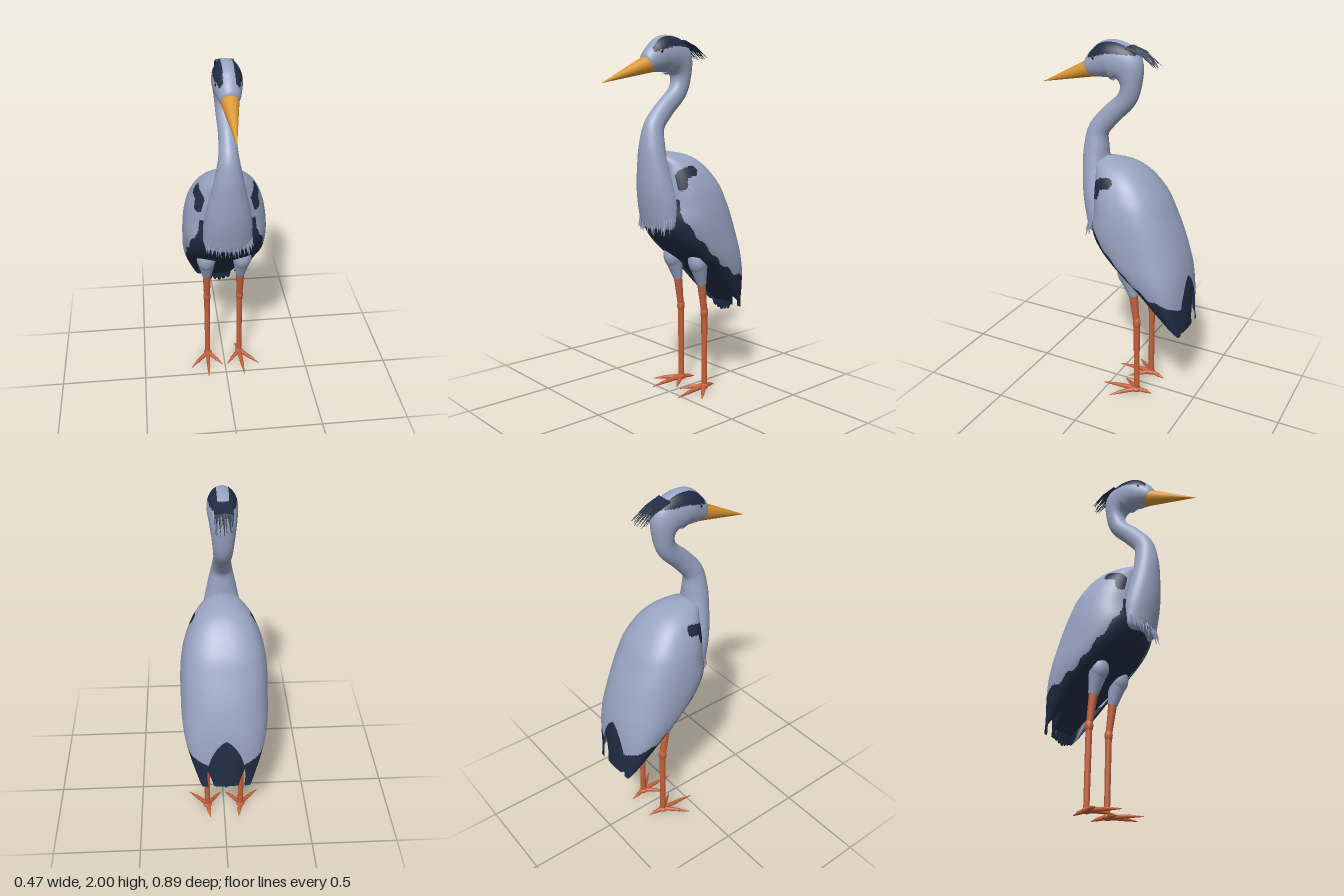
import * as THREE from 'three';

const mat = (name, color, side = THREE.FrontSide) => {
  const m = new THREE.MeshStandardMaterial({ color, side });
  m.name = name;
  return m;
};
const V = (x, y, z) => new THREE.Vector3(x, y, z);

// Smooth interpolation of table rows: t in 0..1 gives one value per column
function spline(rows) {
  const cols = rows[0].map((_, c) => new THREE.SplineCurve(rows.map(r => new THREE.Vector2(r[c], 0))));
  return t => cols.map(c => c.getPoint(t).x);
}

// Surface from a rule f(u, v); the v direction may close on itself
function surface(nu, nv, f, closed) {
  const pos = [], idx = [], w = closed ? nv : nv + 1;
  for (let i = 0; i <= nu; i++) for (let j = 0; j < w; j++) pos.push(...f(i / nu, j / nv));
  for (let i = 0; i < nu; i++) for (let j = 0; j < nv; j++) {
    const k = (j + 1) % w, a = i * w + j, b = a + w, c = (i + 1) * w + k, d = i * w + k;
    idx.push(a, b, c, a, c, d);
  }
  const g = new THREE.BufferGeometry();
  g.setAttribute('position', new THREE.Float32BufferAttribute(pos, 3));
  g.setIndex(idx);
  g.computeVertexNormals();
  return g;
}

// Sort faces into two material groups by the position of their centre
function paint(g, isDark) {
  const p = g.attributes.position, ix = g.index.array, sets = [[], []];
  for (let i = 0; i < ix.length; i += 3) {
    const t = [ix[i], ix[i + 1], ix[i + 2]];
    const mean = n => (p[n](t[0]) + p[n](t[1]) + p[n](t[2])) / 3;
    sets[isDark(mean('getX'), mean('getY'), mean('getZ')) ? 1 : 0].push(...t);
  }
  g.setIndex([...sets[0], ...sets[1]]);
  g.addGroup(0, sets[0].length, 0);
  g.addGroup(sets[0].length, sets[1].length, 1);
  return g;
}

// Piecewise linear lookup in [x, y] pairs with x rising
function lookup(pts, x) {
  for (let i = 1; i < pts.length; i++) if (x < pts[i][0] || i === pts.length - 1) {
    const [x0, y0] = pts[i - 1], [x1, y1] = pts[i];
    return y0 + (y1 - y0) * THREE.MathUtils.clamp((x - x0) / (x1 - x0), 0, 1);
  }
}

// Body outline by height: y, front z, back z, half width
const body = spline([
  [0.45, -0.43, -0.447, 0.135], [0.5, -0.37, -0.447, 0.155], [0.6, -0.27, -0.447, 0.19],
  [0.7, -0.17, -0.442, 0.218], [0.8, -0.045, -0.43, 0.233], [0.9, 0.06, -0.405, 0.236],
  [1.0, 0.11, -0.37, 0.235], [1.1, 0.1, -0.325, 0.226], [1.2, 0.1, -0.275, 0.203],
  [1.3, 0.1, -0.19, 0.155], [1.36, 0.11, -0.1, 0.09], [1.387, 0.07, 0.03, 0.005],
]);
const pw = v => Math.sign(v) * Math.pow(Math.abs(v), 0.82);
function bodyPoint(row, angle, sx, sz) {
  const [y, zf, zb, hw] = row;
  return [hw * sx * pw(Math.sin(angle)), y, (zf + zb) / 2 - (zf - zb) / 2 * sz * pw(Math.cos(angle))];
}

// Chest, neck and head along one path: z, y, radius in the side plane, half width
const neck = spline([
  [0.07, 0.955, 0.005, 0.01], [0.065, 0.975, 0.075, 0.12], [0.075, 1.08, 0.095, 0.135],
  [0.1, 1.2, 0.09, 0.12], [0.12, 1.33, 0.075, 0.092], [0.123, 1.42, 0.068, 0.074],
  [0.108, 1.52, 0.058, 0.054], [0.035, 1.61, 0.055, 0.046], [-0.055, 1.7, 0.053, 0.05],
  [-0.08, 1.79, 0.06, 0.058], [-0.05, 1.87, 0.1, 0.07], [0.03, 1.9, 0.1, 0.077],
  [0.1, 1.877, 0.08, 0.067], [0.16, 1.845, 0.046, 0.046], [0.165, 1.843, 0.005, 0.005],
]);

export function createModel() {
  const grey = mat('grey plumage', 0x98a4c2, THREE.DoubleSide);
  const navy = mat('dark plumage', 0x212d44, THREE.DoubleSide);
  const amber = mat('amber beak', 0xdb9632);
  const rust = mat('rust legs', 0xc4603a);
  const black = mat('black eye', 0x10141c);
  const model = new THREE.Group();
  let seed = 7;
  const rnd = () => (seed = (seed * 16807) % 2147483647) / 2147483647 - 0.5;

  const add = (name, geo, m, parent = model) => {
    const mesh = new THREE.Mesh(geo, m);
    mesh.name = name;
    parent.add(mesh);
    return mesh;
  };
  const group = name => {
    const g = new THREE.Group();
    g.name = name;
    model.add(g);
    return g;
  };
  // Tapered round rod from a to b
  const rod = (name, a, b, ra, rb, m, parent, sides = 14) => {
    const d = b.clone().sub(a);
    const mesh = add(name, new THREE.CylinderGeometry(rb, ra, d.length(), sides), m, parent);
    mesh.position.copy(a).addScaledVector(d, 0.5);
    mesh.quaternion.setFromUnitVectors(V(0, 1, 0), d.normalize());
    return mesh;
  };
  const ball = (name, x, y, z, sx, sy, sz, m, parent) => {
    const mesh = add(name, new THREE.SphereGeometry(1, 20, 14), m, parent);
    mesh.position.set(x, y, z);
    mesh.scale.set(sx, sy, sz);
    return mesh;
  };

  // Torso: dark belly and rump, grey shoulders
  const torso = surface(60, 48, (u, v) => {
    const row = body(u);
    return bodyPoint(row, v * Math.PI * 2, lookup([[0.45, 0.5], [0.78, 0.95]], row[0]), 0.96);
  }, true);
  add('torso', paint(torso, (x, y) => y < 1.13), [grey, navy]);

  // Folded wings, parting above the tail, with dark flight feathers and shoulder patch
  const edge = [[-0.44, 0.6], [-0.38, 0.665], [-0.31, 0.68], [-0.18, 0.77], [-0.02, 0.93], [0.05, 1.02], [0.075, 1.15]];
  const patch = new THREE.CatmullRomCurve3([V(0, 1.21, 0.05), V(0, 1.265, 0.035), V(0, 1.285, -0.025)]).getPoints(12);
  const wingDark = (x, y, z) =>
    y < lookup(edge, z) + 0.008 * Math.sin(z * 70) ||
    patch.some(p => Math.hypot(p.y - y, p.z - z) < 0.027);
  for (const s of [1, -1]) {
    const wing = surface(130, 80, (u, v) => {
      const row = body(u), y = row[0];
      const a = 0.75 * Math.max(0, (0.77 - y) / 0.32) ** 0.8;
      const b = 2.45 - 1.2 * Math.max(0, (0.62 - y) / 0.17) ** 2;
      const p = bodyPoint(row, a + (b - a) * (s > 0 ? v : 1 - v), 1, 1);
      p[0] *= s;
      return p;
    }, false);
    add(s > 0 ? 'leftWing' : 'rightWing', paint(wing, wingDark), [grey, navy]);
  }

  // Tail feathers
  const tail = group('tail');
  for (let i = -2; i <= 2; i++)
    ball('tailFeather', i * 0.027, 0.51 + Math.abs(i) * 0.008, -0.408, 0.022, 0.1, 0.016, navy, tail).rotation.x = 0.08;

  // Chest, S-shaped neck and head with dark brow bands
  const neckGeo = surface(220, 64, (u, v) => {
    const [z, y, r, rx] = neck(u);
    const p = neck(Math.max(0, u - 0.004)), q = neck(Math.min(1, u + 0.004));
    const t = new THREE.Vector2(q[0] - p[0], q[1] - p[1]).normalize();
    const c = Math.cos(v * Math.PI * 2), n = Math.sin(v * Math.PI * 2);
    return [rx * c, y - r * n * t.x, z + r * n * t.y];
  }, true);
  const brow = [[-0.1, 1.935], [0.02, 1.94], [0.14, 1.905]];
  add('neckAndHead', paint(neckGeo, (x, y, z) =>
    z < 0.145 && y > lookup(brow, z) && !(Math.abs(x) < 0.03 && z > -0.075)), [grey, navy]);

  // Beak and eyes
  rod('beak', V(0, 1.85, 0.135), V(0, 1.745, 0.445), 0.05, 0.001, amber, model, 24);
  for (const s of [1, -1]) {
    ball('eyeRing', s * 0.058, 1.908, 0.103, 0.007, 0.013, 0.013, amber);
    ball('eye', s * 0.061, 1.908, 0.104, 0.007, 0.009, 0.009, black);
  }

  // Crest plumes
  const crest = group('crest');
  for (let i = 0; i < 16; i++) {
    const x = (i / 15 - 0.5) * 0.08;
    const mid = V(x * 1.05, 1.945 + rnd() * 0.01, -0.15);
    rod('plume', V(x, 1.97, -0.07), mid, 0.007, 0.004, navy, crest, 6);
    rod('plumeTip', mid, V(x * 1.1 + rnd() * 0.015, 1.885 + rnd() * 0.03, -0.225 + rnd() * 0.05), 0.004, 0.0005, navy, crest, 6);
  }

  // Ragged breast feathers
  const fringe = group('breastFringe');
  for (let i = 0; i < 30; i++) {
    const x = (i / 29 - 0.5) * 0.25;
    const z = 0.063 + 0.078 * Math.sqrt(1 - (x / 0.135) ** 2);
    rod('breastFeather', V(x, 1.03, z), V(x * 1.05 + rnd() * 0.03, 0.957 + rnd() * 0.04, z + 0.012 + rnd() * 0.02), 0.01, 0.0005, grey, fringe, 6);
  }

  // Legs: thigh, shank, joint and four toes
  for (const s of [1, -1]) {
    const leg = group(s > 0 ? 'leftLeg' : 'rightLeg');
    const P = (x, y, z) => V(s * x, y, z);
    ball('thighTop', s * 0.105, 0.77, -0.12, 0.056, 0.075, 0.056, grey, leg);
    rod('thigh', P(0.105, 0.76, -0.122), P(0.1, 0.63, -0.155), 0.055, 0.027, grey, leg, 20);
    rod('upperLeg', P(0.1, 0.66, -0.15), P(0.1, 0.47, -0.175), 0.026, 0.018, rust, leg);
    ball('joint', s * 0.1, 0.46, -0.177, 0.022, 0.04, 0.023, rust, leg);
    rod('lowerLeg', P(0.1, 0.47, -0.177), P(0.1, 0.02, -0.182), 0.018, 0.016, rust, leg);
    ball('foot', s * 0.1, 0.018, -0.178, 0.026, 0.018, 0.028, rust, leg);
    for (const [x, z] of [[0.11, 0.03], [0.21, -0.06], [0.015, -0.07], [0.085, -0.27]]) {
      const mid = P(0.1 + (x - 0.1) * 0.6, 0.013, -0.18 + (z + 0.18) * 0.6);
      rod('toe', P(0.1, 0.02, -0.18), mid, 0.015, 0.01, rust, leg, 10);
      ball('toeKnuckle', mid.x, mid.y, mid.z, 0.011, 0.011, 0.011, rust, leg);
      rod('claw', mid, P(x, 0.004, z), 0.01, 0.002, rust, leg, 10);
    }
  }
  return model;
}
